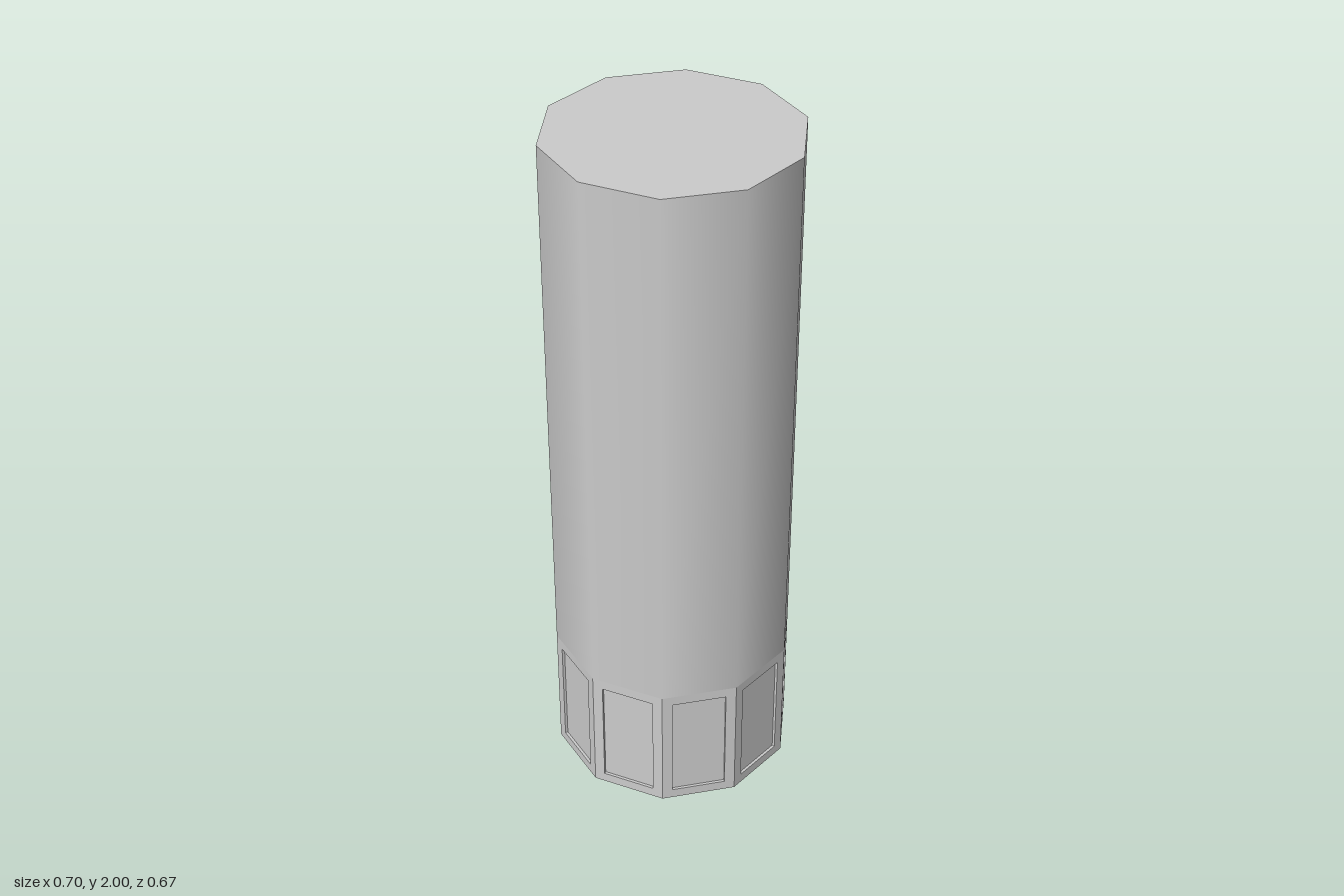
import * as THREE from 'three';

const SIDES = 10, RADIUS = 0.35, HEIGHT = 2, BASE = 0.395;
const INSET = 0.03, DEPTH = 0.008;

// One flat side of the base with a recessed panel, facing +z
function panelFacet() {
  const half = RADIUS * Math.sin(Math.PI / SIDES);
  const apothem = RADIUS * Math.cos(Math.PI / SIDES);
  const loop = (inset, depth) => {
    const w = half - inset, lo = inset, hi = BASE - inset, z = apothem - depth;
    return [[-w, lo, z], [w, lo, z], [w, hi, z], [-w, hi, z]];
  };
  const loops = [loop(0, 0), loop(INSET, 0), loop(INSET, DEPTH)];
  const positions = [];
  const quad = (a, b, c, d) => positions.push(...a, ...b, ...c, ...a, ...c, ...d);

  // Border, then recess walls, then recess floor
  for (let k = 0; k < 2; k++) {
    for (let i = 0; i < 4; i++) {
      const j = (i + 1) % 4;
      quad(loops[k][i], loops[k][j], loops[k + 1][j], loops[k + 1][i]);
    }
  }
  quad(...loops[2]);

  const geometry = new THREE.BufferGeometry();
  geometry.setAttribute('position', new THREE.Float32BufferAttribute(positions, 3));
  geometry.computeVertexNormals();
  return geometry;
}

export function createModel() {
  const model = new THREE.Group();
  model.name = 'column';
  const material = new THREE.MeshStandardMaterial({ color: 0xcccccc });
  const add = (name, geometry, parent = model) => {
    const mesh = new THREE.Mesh(geometry, material);
    mesh.name = name;
    parent.add(mesh);
    return mesh;
  };

  // Smooth-shaded shaft, with a corner on the x axis
  const shaft = new THREE.CylinderGeometry(RADIUS, RADIUS, HEIGHT - BASE, SIDES, 1, true, Math.PI / 2);
  add('shaft', shaft).position.y = (HEIGHT + BASE) / 2;

  // Ring of recessed panels around the base
  const base = new THREE.Group();
  base.name = 'panelledBase';
  model.add(base);
  const facet = panelFacet();
  for (let i = 0; i < SIDES; i++) {
    add('basePanel', facet, base).rotation.y = (i * Math.PI * 2) / SIDES;
  }

  // End caps
  const cap = new THREE.CircleGeometry(RADIUS, SIDES);
  const top = add('topCap', cap);
  top.rotation.x = -Math.PI / 2;
  top.position.y = HEIGHT;
  add('bottomCap', cap).rotation.x = Math.PI / 2;

  return model;
}
